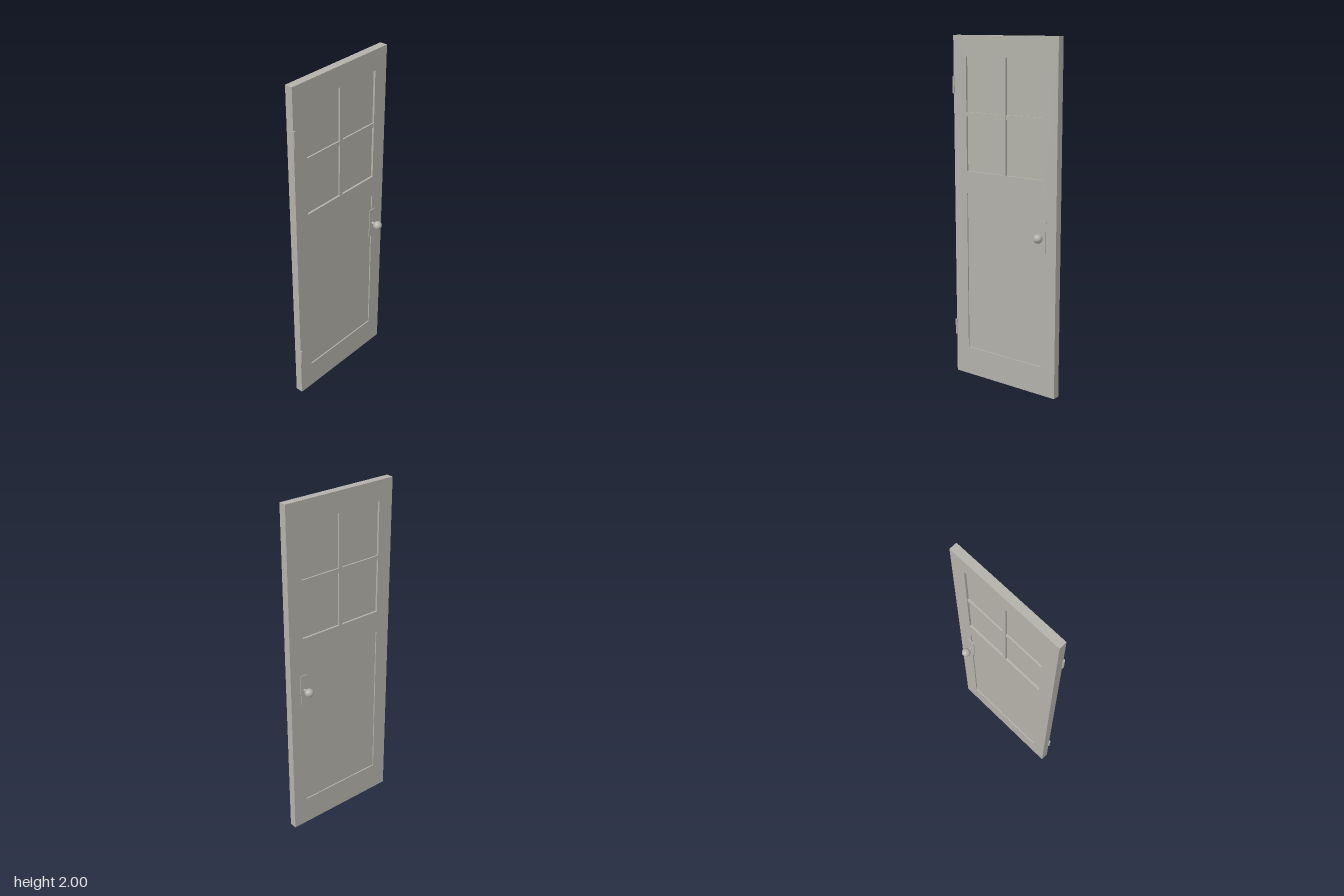
import * as THREE from 'three';

const CX = 0.003, CZ = -0.002; // centre of the door slab
const HALF_W = 0.351, DEPTH = 0.045;
const paint = new THREE.MeshStandardMaterial({ color: 0xb3b1a9 });
paint.name = 'warm grey';
paint.flatShading = true;

function add(parent, name, geometry, x = 0, y = 0, z = 0) {
  const mesh = new THREE.Mesh(geometry, paint);
  mesh.name = name;
  mesh.position.set(x, y, z);
  parent.add(mesh);
  return mesh;
}

// Rectangle outline from its edges
function rect(Type, x0, x1, y0, y1) {
  return new Type([[x0, y0], [x1, y0], [x1, y1], [x0, y1]].map(p => new THREE.Vector2(...p)));
}

export function createModel() {
  const model = new THREE.Group();
  model.name = 'panelDoor';
  const slab = new THREE.Group();
  slab.name = 'doorSlab';
  slab.position.set(CX, 0, CZ);
  model.add(slab);

  // Stiles and rails around two openings
  const openings = [
    { name: 'lowerPanel', y0: 0.17, y1: 1.112, thick: 0.031 },
    { name: 'windowPane', y0: 1.24, y1: 1.884, thick: 0.021 },
  ];
  const half = 0.262;
  const outline = rect(THREE.Shape, -HALF_W, HALF_W, 0, 2);
  for (const o of openings) outline.holes.push(rect(THREE.Path, -half, half, o.y0, o.y1));
  const frame = new THREE.ExtrudeGeometry(outline, { depth: DEPTH, bevelEnabled: false });
  add(slab, 'frame', frame, 0, 0, -DEPTH / 2);

  // Recessed infill
  for (const o of openings) {
    add(slab, o.name, new THREE.BoxGeometry(half * 2, o.y1 - o.y0, o.thick), 0, (o.y0 + o.y1) / 2, 0);
  }

  // Glazing bars, set just below the frame face
  add(slab, 'verticalBar', new THREE.BoxGeometry(0.024, 0.644, 0.041), 0, 1.562, 0);
  add(slab, 'horizontalBar', new THREE.BoxGeometry(half * 2, 0.026, 0.039), 0, 1.563, 0);

  // Matching handle on each side
  for (const side of [1, -1]) {
    const handle = new THREE.Group();
    handle.name = side > 0 ? 'frontHandle' : 'backHandle';
    handle.position.set(0.266, 0.928, CZ);
    model.add(handle);
    add(handle, 'backplate', new THREE.BoxGeometry(0.046, 0.182, 0.004), 0, 0, side * 0.0245);
    const stem = add(handle, 'stem', new THREE.CylinderGeometry(0.0065, 0.0065, 0.045, 12), 0, 0, side * 0.042);
    stem.rotation.x = Math.PI / 2;
    add(handle, 'knob', new THREE.IcosahedronGeometry(0.0255, 2), 0, 0, side * 0.069);
  }

  // Hinge barrels on the right edge
  for (const y of [0.283, 1.723]) {
    add(model, 'hinge', new THREE.CylinderGeometry(0.007, 0.007, 0.092, 12), -0.348, y, 0.023);
  }
  return model;
}
